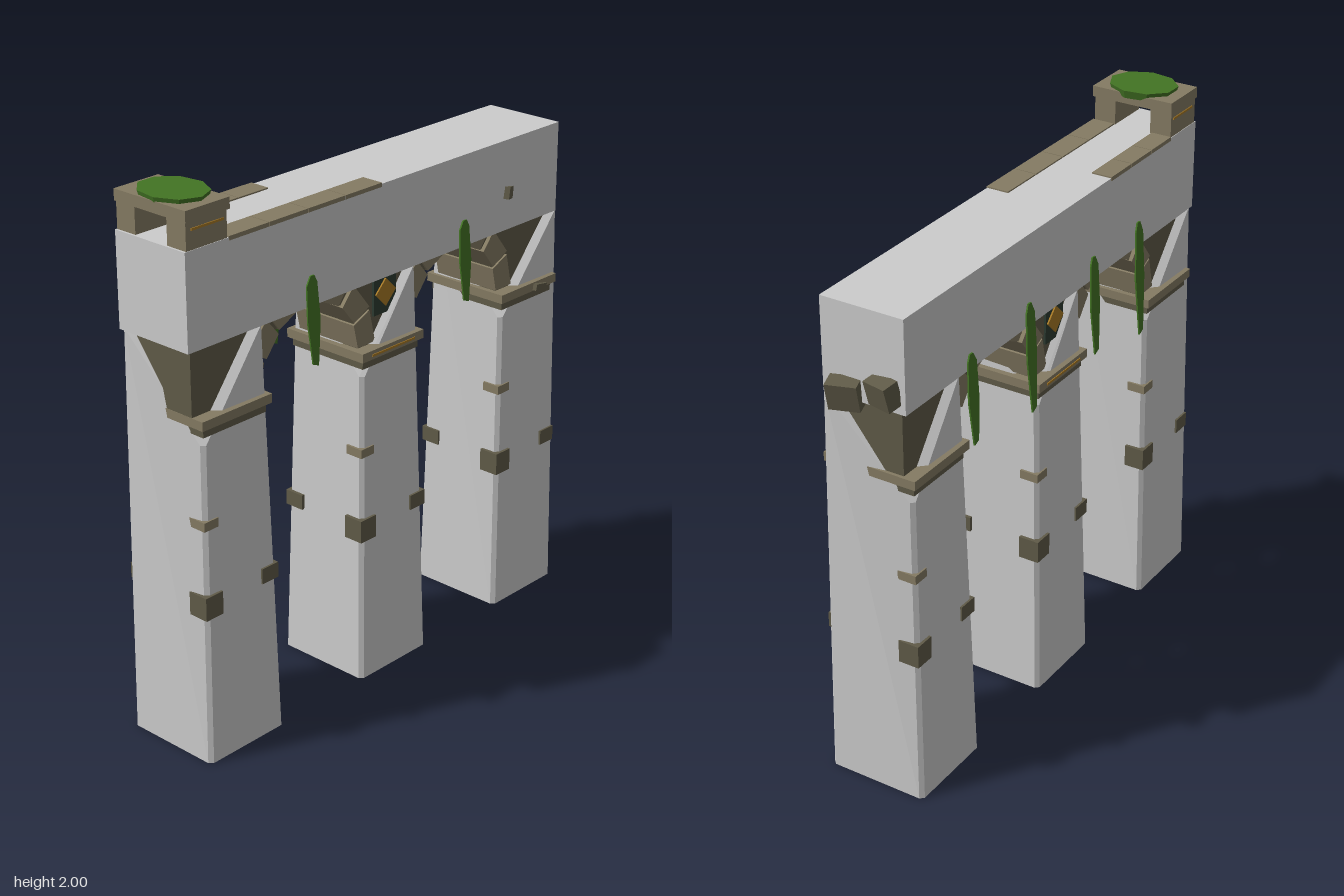
import * as THREE from 'three';
import { ConvexGeometry } from 'three/addons/geometries/ConvexGeometry.js';

const mat = (name, color, extra = {}) => {
  const m = new THREE.MeshStandardMaterial({ color, ...extra });
  m.name = name;
  return m;
};

export function createModel() {
  const root = new THREE.Group();
  root.name = 'ruinedAqueduct';
  const paleStone = mat('paleStone', 0xcccccc, { flatShading: true });
  const lightStone = mat('lightStone', 0x857b63, { flatShading: true });
  const darkStone = mat('darkStone', 0x605b48, { flatShading: true });
  const moss = mat('moss', 0x437424, { flatShading: true, side: THREE.DoubleSide });
  const ochre = mat('ochre', 0xa87a26);
  const teal = mat('darkTeal', 0x2c3b31);

  const add = (name, geo, material, x = 0, y = 0, z = 0, parent = root) => {
    const m = new THREE.Mesh(geo, material);
    m.name = name;
    m.position.set(x, y, z);
    parent.add(m);
    return m;
  };
  // Box given by its limits
  const block = (name, material, x0, x1, y0, y1, z0, z1, parent = root) =>
    add(name, new THREE.BoxGeometry(x1 - x0, y1 - y0, z1 - z0), material,
      (x0 + x1) / 2, (y0 + y1) / 2, (z0 + z1) / 2, parent);

  // Channel beam on top
  block('beam', paleStone, -0.96, 0.91, 1.51, 1.85, -0.16, 0.16);

  // Tapered piers, chamfered, each rising to a diagonal ridge under the beam
  const piers = [
    { x: -0.768, left: -0.177, right: 0.138 },
    { x: -0.01, left: -0.13, right: 0.13 },
    { x: 0.742, left: -0.138, right: 0.172 },
  ];
  for (const { x, left, right } of piers) {
    const pier = new THREE.Group();
    pier.name = 'pier';
    pier.position.x = x;
    root.add(pier);
    const pts = [];
    const c = 0.014;
    for (const [y, hx, hz] of [[0, 0.178, 0.192], [1.17, 0.138, 0.158]])
      for (const sx of [-1, 1]) for (const sz of [-1, 1]) {
        pts.push(new THREE.Vector3(sx * hx, y, sz * (hz - c)));
        pts.push(new THREE.Vector3(sx * (hx - c), y, sz * hz));
      }
    pts.push(new THREE.Vector3(right, 1.511, 0.155), new THREE.Vector3(left, 1.511, -0.155));
    add('shaft', new ConvexGeometry(pts), paleStone, 0, 0, 0, pier);

    // Stepped cornice
    block('corniceStep', darkStone, -0.143, 0.143, 1.205, 1.237, -0.166, 0.166, pier);
    block('cornice', lightStone, -0.158, 0.158, 1.237, 1.27, -0.18, 0.18, pier);

    // Corner stones, repeated by a half turn
    for (const s of [1, -1]) {
      const box = (name, m, x0, x1, y0, y1, z0, z1) => {
        const b = block(name, m, x0, x1, y0, y1, z0, z1, pier);
        b.position.x *= s;
        b.position.z *= s;
      };
      box('cornerStone', darkStone, -0.17, -0.092, 0.55, 0.635, 0.105, 0.184);
      box('cornerStone', darkStone, 0.094, 0.17, 0.585, 0.642, 0.105, 0.184);
      box('smallCornerStone', lightStone, -0.156, -0.092, 0.872, 0.905, 0.1, 0.172);
    }
  }

  // Spandrel wall with two arched bites
  const arches = [-0.385, 0.36];
  const springY = 1.268;
  const wall = new THREE.Shape();
  wall.moveTo(-0.925, 1.255);
  for (const ax of arches) {
    wall.lineTo(ax - 0.245, 1.255);
    wall.absarc(ax, springY, 0.245, Math.PI, 0, true);
    wall.lineTo(ax + 0.245, 1.255);
  }
  wall.lineTo(0.888, 1.255);
  wall.lineTo(0.888, 1.53);
  wall.lineTo(-0.925, 1.53);
  wall.closePath();
  add('spandrelWall', new THREE.ExtrudeGeometry(wall, { depth: 0.26, bevelEnabled: false, curveSegments: 14 }),
    darkStone, 0, 0, -0.13);

  // Arch stones
  const step = Math.PI / 7;
  for (const ax of arches) for (let k = 0; k < 7; k++) {
    const a = k * step + 0.03, b = (k + 1) * step - 0.03;
    const s = new THREE.Shape();
    [[0.238, a], [0.325, a], [0.325, b], [0.238, b]].forEach(([r, t], i) =>
      s[i ? 'lineTo' : 'moveTo'](r * Math.cos(t), r * Math.sin(t)));
    const d = k % 2 ? 0.145 : 0.138;
    add('archStone', new THREE.ExtrudeGeometry(s, { depth: 2 * d, bevelEnabled: false }),
      lightStone, ax, springY, -d);
  }

  // Diamond panels and ochre bands on the middle pier
  for (const s of [1, -1]) {
    block('panel', teal, -0.068, 0.045, 1.37, 1.51, s * 0.136 - 0.004, s * 0.136 + 0.004);
    const d = add('diamond', new THREE.BoxGeometry(0.072, 0.072, 0.008), ochre, -0.012, 1.447, s * 0.142);
    d.rotation.z = Math.PI / 4;
    block('ochreBand', ochre, -0.12, 0.1, 1.248, 1.256, s * 0.18 - 0.003, s * 0.18 + 0.003);
  }

  // Remains of the parapet, laid as slabs
  const slabs = (z0, z1, end, n) => {
    const w = (end + 0.77) / n;
    for (let i = 0; i < n; i++)
      block('parapetSlab', lightStone, -0.77 + i * w, -0.773 + (i + 1) * w, 1.84, 1.855, z0, z1);
  };
  slabs(-0.162, -0.083, -0.345, 3);
  slabs(0.075, 0.162, -0.05, 4);

  // Small roofed shelter at the end
  for (const s of [1, -1]) {
    const w = block('shelterWall', lightStone, -0.952, -0.775, 1.85, 1.95, 0.073, 0.158);
    w.position.z *= s;
    block('ochreBand', ochre, -0.93, -0.79, 1.914, 1.922, s * 0.158 - 0.003, s * 0.158 + 0.003);
  }
  block('shelterRoof', lightStone, -0.956, -0.765, 1.945, 1.985, -0.163, 0.163);
  const cap = add('mossCap', new THREE.CylinderGeometry(0.108, 0.1, 0.03, 9), moss, -0.855, 1.985, 0.003);
  cap.scale.z = 1.22;

  // Hanging vines: x, top, bottom, side
  const vines = [
    [-0.4, 1.62, 1.3, 1], [0.38, 1.61, 1.305, 1],
    [-0.545, 1.61, 1.165, -1], [-0.23, 1.6, 1.225, -1],
    [0.19, 1.6, 1.19, -1], [0.545, 1.57, 1.235, -1],
  ];
  for (const [x, top, bottom, side] of vines) {
    const h = top - bottom;
    const s = new THREE.Shape([
      [-0.008, 0], [-0.027, -0.1], [-0.03, -0.5], [-0.014, -0.97],
      [0.012, -1], [0.03, -0.5], [0.022, -0.08], [0.01, 0.0],
    ].map(([px, py]) => new THREE.Vector2(px, py * h)));
    const v = add('vine', new THREE.ExtrudeGeometry(s, { depth: 0.006, bevelEnabled: false }),
      moss, x, top, side * 0.164 - 0.003);
    v.rotation.x = -side * 0.05;
  }

  // Broken stones lodged in the masonry
  const rubble = [
    [0.925, 1.535, 0.062, 0.06, 0.1, 0.11, 0.25, darkStone],
    [0.925, 1.58, -0.085, 0.06, 0.09, 0.1, -0.25, darkStone],
    [0.63, 1.65, 0.155, 0.05, 0.045, 0.03, 0.4, darkStone],
    [0.8, 1.247, 0.177, 0.07, 0.025, 0.03, 0.1, darkStone],
  ];
  for (const [x, y, z, w, h, d, turn, m] of rubble) {
    const r = add('rubble', new THREE.BoxGeometry(w, h, d), m, x, y, z);
    r.rotation.set(0.05, turn, -0.2);
  }
  return root;
}
